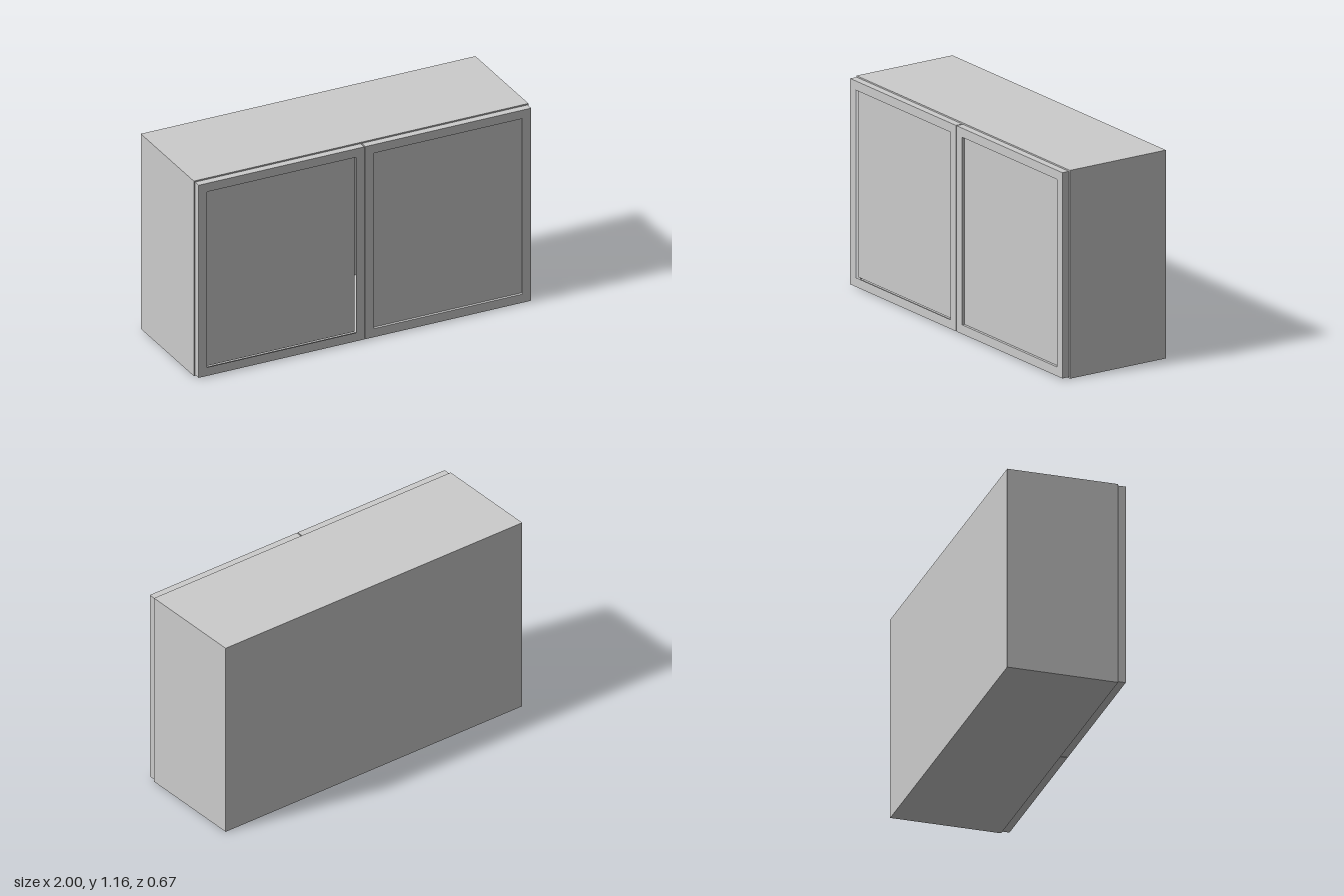
import * as THREE from 'three';

const W = 2, H = 1.165, BACK = -0.333, FRONT = 0.288, T = 0.036;
const DOOR_BACK = 0.291, DOOR_FRONT = 0.333;

export function createModel() {
  const model = new THREE.Group();
  model.name = 'wallCabinet';
  const material = new THREE.MeshStandardMaterial({ color: 0xcccccc });

  // Box given by its minimum and maximum corners
  function panel(parent, name, min, max) {
    const size = max.map((v, i) => v - min[i]);
    const mesh = new THREE.Mesh(new THREE.BoxGeometry(...size), material);
    mesh.position.set(...min.map((v, i) => v + size[i] / 2));
    mesh.name = name;
    parent.add(mesh);
  }

  // Carcass: two full-height sides with top, bottom and back between them
  const carcass = new THREE.Group();
  carcass.name = 'carcass';
  model.add(carcass);
  const inner = W / 2 - T;
  panel(carcass, 'leftSide', [inner, 0, BACK], [W / 2, H, FRONT]);
  panel(carcass, 'rightSide', [-W / 2, 0, BACK], [-inner, H, FRONT]);
  panel(carcass, 'topPanel', [-inner, H - T, BACK], [inner, H, FRONT]);
  panel(carcass, 'bottomPanel', [-inner, 0, BACK], [inner, T, FRONT]);
  panel(carcass, 'backPanel', [-inner, T, BACK], [inner, H - T, BACK + 0.02]);

  // Doors: a flat frame around a recessed centre panel
  const x0 = 0.003, x1 = 0.994, y0 = 0.008, y1 = 1.159, rail = 0.051, recess = 0.016;
  for (const side of [1, -1]) {
    const door = new THREE.Group();
    door.name = side > 0 ? 'leftDoor' : 'rightDoor';
    model.add(door);

    const outline = (a, b, c, d) => [[a, b], [c, b], [c, d], [a, d]]
      .map(([x, y]) => new THREE.Vector2(side * x, y));
    const shape = new THREE.Shape(outline(x0, y0, x1, y1));
    shape.holes.push(new THREE.Path(outline(x0 + rail, y0 + rail, x1 - rail, y1 - rail)));
    const frame = new THREE.Mesh(
      new THREE.ExtrudeGeometry(shape, { depth: DOOR_FRONT - DOOR_BACK, bevelEnabled: false }),
      material
    );
    frame.position.z = DOOR_BACK;
    frame.name = 'doorFrame';
    door.add(frame);

    const xs = [side * (x0 + rail), side * (x1 - rail)].sort((a, b) => a - b);
    panel(door, 'doorPanel', [xs[0], y0 + rail, DOOR_BACK + 0.006],
      [xs[1], y1 - rail, DOOR_FRONT - recess]);
  }
  return model;
}
